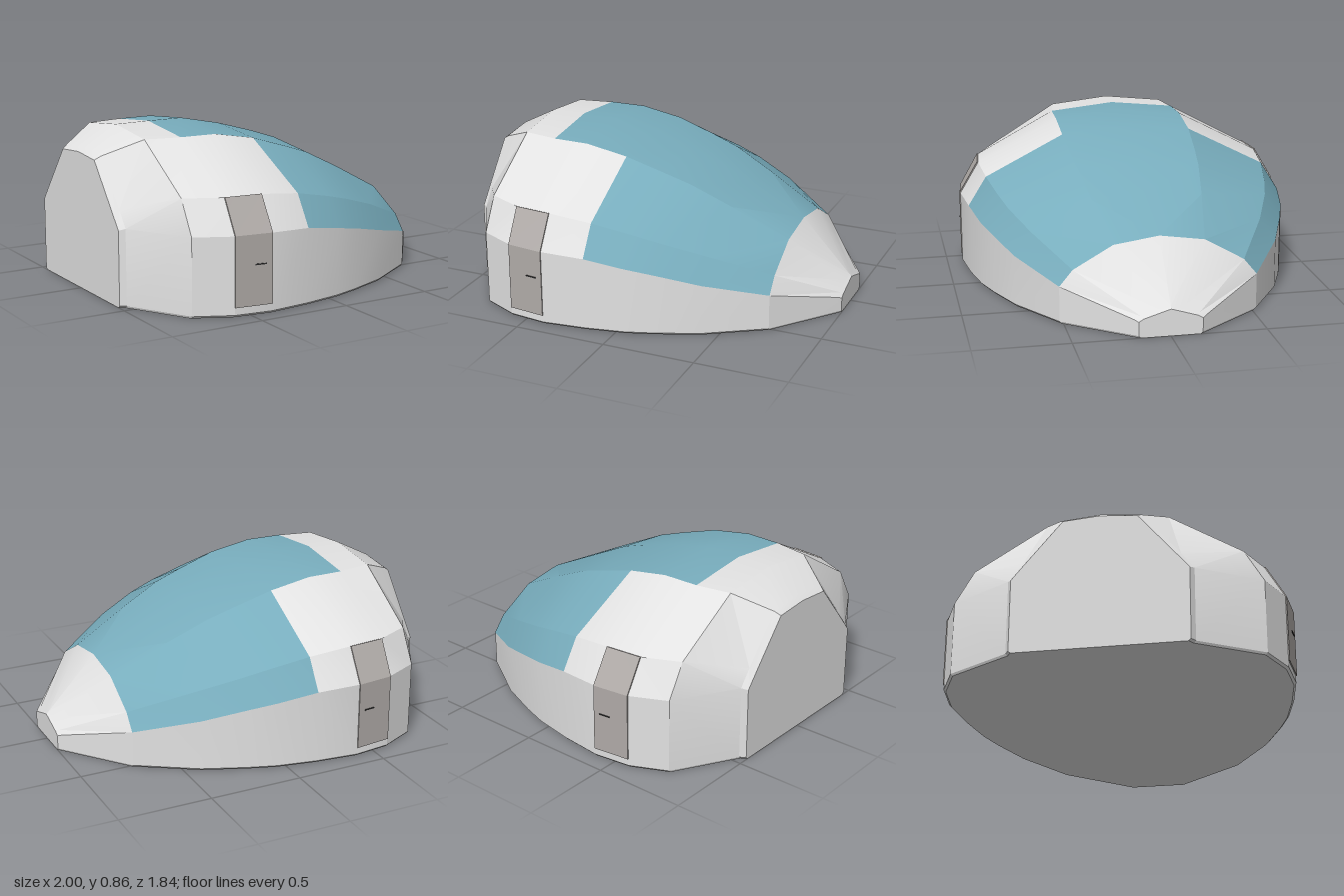
import * as THREE from 'three';
import { toCreasedNormals } from 'three/addons/utils/BufferGeometryUtils.js';

const paint = (name, color) => Object.assign(new THREE.MeshStandardMaterial({ color }), { name });

// Hull stations: x, half width, sill y, shoulder z, shoulder y, roof edge z, roof edge y, crest y
const STATIONS = [
  [-1.0, 0.45, 0.40, 0.385, 0.48, 0.19, 0.715, 0.73],
  [-0.97, 0.47, 0.41, 0.405, 0.495, 0.205, 0.735, 0.755],
  [-0.78, 0.80, 0.41, 0.70, 0.585, 0.32, 0.82, 0.855],
  [-0.59, 0.89, 0.41, 0.79, 0.585, 0.355, 0.82, 0.857],
  [-0.39, 0.915, 0.41, 0.81, 0.585, 0.36, 0.82, 0.857],
  [-0.16, 0.89, 0.40, 0.79, 0.56, 0.36, 0.78, 0.81],
  [0.05, 0.85, 0.365, 0.75, 0.515, 0.345, 0.715, 0.75],
  [0.20, 0.80, 0.335, 0.71, 0.475, 0.33, 0.665, 0.70],
  [0.42, 0.71, 0.28, 0.62, 0.405, 0.295, 0.56, 0.59],
  [0.72, 0.52, 0.20, 0.45, 0.285, 0.24, 0.405, 0.44],
  [0.985, 0.185, 0.095, 0.15, 0.11, 0.055, 0.14, 0.157],
  [1.0, 0.165, 0.085, 0.14, 0.10, 0.05, 0.128, 0.143],
];

// Skins closed [z, y] rings along x, caps both ends; pick(row, side) gives the material index
function loft(xs, rings, pick = () => 0) {
  const faces = [[], []];
  const n = rings[0].length;
  const last = xs.length - 1;
  const at = (i, j) => [xs[i], rings[i][j % n][1], rings[i][j % n][0]];
  for (let i = 0; i < last; i++) {
    for (let j = 0; j < n; j++) {
      const a = at(i, j), b = at(i + 1, j), c = at(i + 1, j + 1), d = at(i, j + 1);
      // mirrored diagonals keep the two sides symmetric
      const tris = j < n / 2 - 1 ? [a, b, c, a, c, d] : [a, b, d, b, c, d];
      faces[pick(i, j)].push(...tris.flat());
    }
  }
  for (const i of [0, last]) {
    const mid = [xs[i], 0, 0];
    for (const [z, y] of rings[i]) { mid[1] += y / n; mid[2] += z / n; }
    for (let j = 0; j < n; j++) {
      const edge = i === 0 ? [at(i, j), at(i, j + 1)] : [at(i, j + 1), at(i, j)];
      faces[0].push(...mid, ...edge.flat());
    }
  }
  const geo = new THREE.BufferGeometry();
  geo.setAttribute('position', new THREE.Float32BufferAttribute([...faces[0], ...faces[1]], 3));
  geo.addGroup(0, faces[0].length / 3, 0);
  if (faces[1].length) geo.addGroup(faces[0].length / 3, faces[1].length / 3, 1);
  return toCreasedNormals(geo, 0.3);
}

export function createModel() {
  const model = new THREE.Group();
  model.name = 'podVehicle';
  const white = paint('shellWhite', 0xe2e2e2);
  const blue = paint('canopyBlue', 0x78adbd);
  const grey = paint('doorGrey', 0xb0aba8);
  const dark = paint('handleDark', 0x303030);

  const add = (name, geo, mat) => {
    const mesh = new THREE.Mesh(geo, mat);
    mesh.name = name;
    model.add(mesh);
    return mesh;
  };

  // Shell with the blue canopy as a second material group
  const bevel = 0.012;
  const rings = STATIONS.map(([, w, sill, sz, sy, rz, ry, top]) => {
    const half = [[w - bevel, 0], [w, bevel], [w, sill], [sz, sy], [rz, ry]];
    return [...half, [0, top], ...half.map(([z, y]) => [-z, y]).reverse()];
  });
  const isCanopy = (i, j) => {
    const x = STATIONS[i][0];
    if (x > 0.7 || j < 2 || j > 7) return 0;
    const roof = j === 4 || j === 5;
    return x >= (roof ? -0.59 : -0.16) ? 1 : 0;
  };
  add('bodyShell', loft(STATIONS.map((s) => s[0]), rings, isCanopy), [white, blue]);

  // Doors: thin plates that follow the wall and the shoulder
  const doorStations = STATIONS.slice(3, 5);
  const doorX = doorStations.map((s) => s[0]);
  const out = 0.006;
  for (const side of [1, -1]) {
    const label = side > 0 ? 'front' : 'back';
    const orient = (ring) => (side > 0 ? ring : ring.map(([z, y]) => [-z, y]).reverse());
    const lower = doorStations.map(([, w, sill]) =>
      orient([[w + out, 0.05], [w + out, sill + 0.002], [w - 0.003, sill], [w - 0.003, 0.05]]));
    const upper = doorStations.map(([, w, sill, sz, sy]) =>
      orient([[w + out, sill + 0.002], [sz + out, sy + 0.003], [sz - 0.003, sy], [w - 0.003, sill]]));
    add(label + 'DoorLower', loft(doorX, lower), grey);
    add(label + 'DoorUpper', loft(doorX, upper), grey);

    // Slim door handle
    const handle = add(label + 'DoorHandle', new THREE.BoxGeometry(0.06, 0.006, 0.008), dark);
    handle.position.set(-0.455, 0.26, side * 0.913);
    handle.rotation.y = side * -0.124;
  }
  return model;
}
